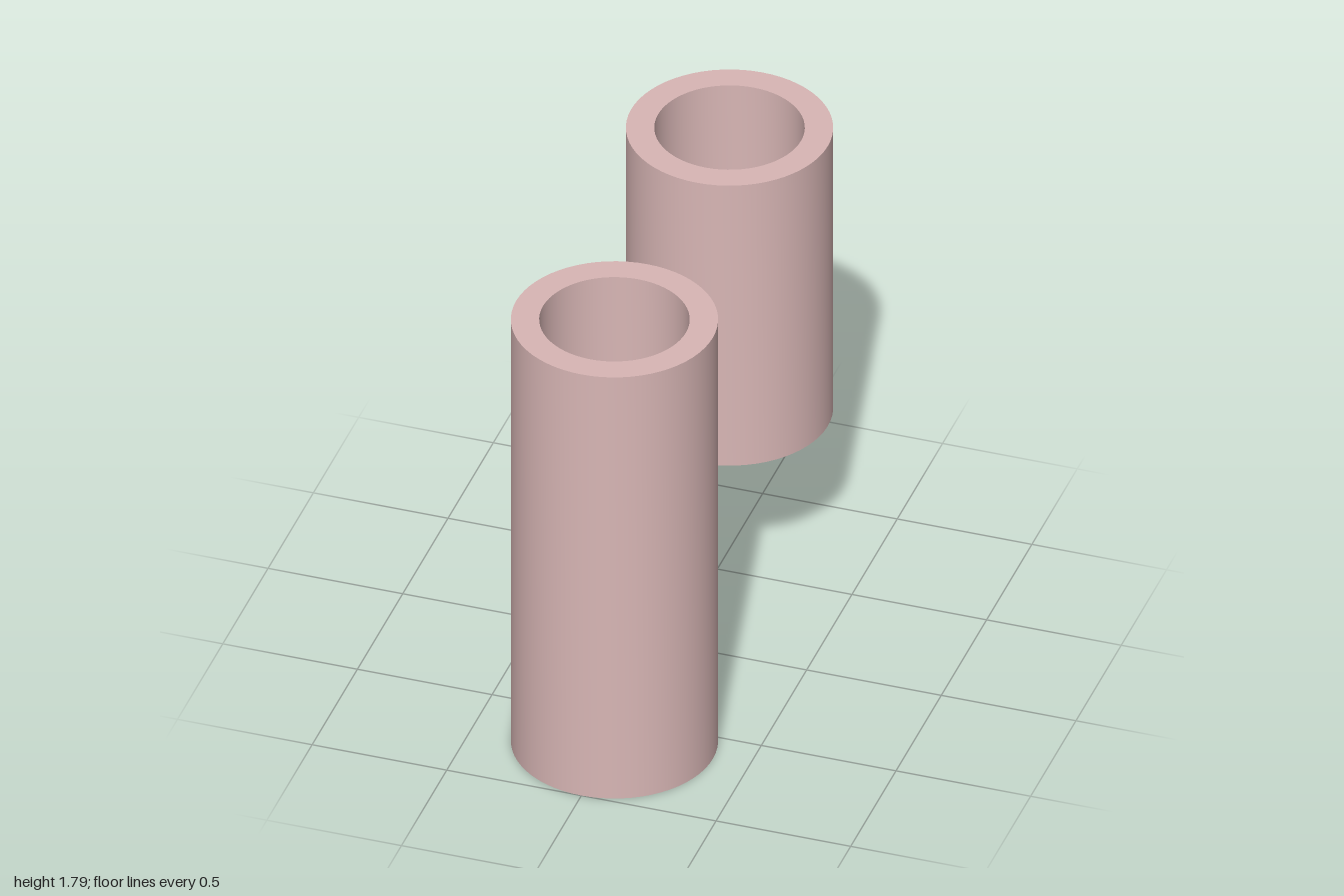
import * as THREE from 'three';
import { toCreasedNormals } from 'three/addons/utils/BufferGeometryUtils.js';

const SEGMENTS = 64;

// Spins a profile of [radius, height] pairs, keeping sharp corners sharp
function lathe(points, material, name) {
  const geometry = new THREE.LatheGeometry(points.map(([r, y]) => new THREE.Vector2(r, y)), SEGMENTS);
  const mesh = new THREE.Mesh(toCreasedNormals(geometry, 0.6), material);
  mesh.name = name;
  return mesh;
}

// Round-shouldered core with a short neck and a bevelled flat tip
function coreProfile(bottom, top) {
  const points = [[0.245, bottom]];
  const shoulder = top - 0.3;
  for (let i = 0; i <= 10; i++) {
    const a = (i / 10) * 1.15;
    points.push([0.135 + 0.11 * (Math.cos(a) - Math.cos(1.15) * (i / 10)), shoulder + 0.18 * Math.sin(a)]);
  }
  points.push([0.122, top - 0.1], [0.12, top - 0.04], [0.11, top - 0.018], [0.08, top], [0, top]);
  return points;
}

function sleeve(bottom, top, material, name) {
  const group = new THREE.Group();
  group.name = name;
  const floor = bottom + 0.08;

  // Thick-walled open tube
  group.add(lathe([
    [0.265, bottom], [0.365, bottom], [0.365, top], [0.265, top], [0.265, bottom],
  ], material, 'tubeWall'));

  // Recessed floor closing the bore
  group.add(lathe([
    [0, floor], [0.265, floor], [0.265, floor + 0.04], [0, floor + 0.04],
  ], material, 'tubeFloor'));

  // Core standing inside the bore
  group.add(lathe(coreProfile(floor + 0.04, top - 0.3), material, 'innerCore'));
  return group;
}

export function createModel() {
  const model = new THREE.Group();
  model.name = 'twinSleeves';
  const dustyPink = new THREE.MeshStandardMaterial({ color: 0xd8b6b5 });
  dustyPink.name = 'dustyPink';

  const front = sleeve(0, 1.79, dustyPink, 'longSleeve');
  front.position.z = 0.635;
  const back = sleeve(0.6, 1.79, dustyPink, 'shortSleeve');
  back.position.z = -0.635;
  model.add(front, back);
  return model;
}
